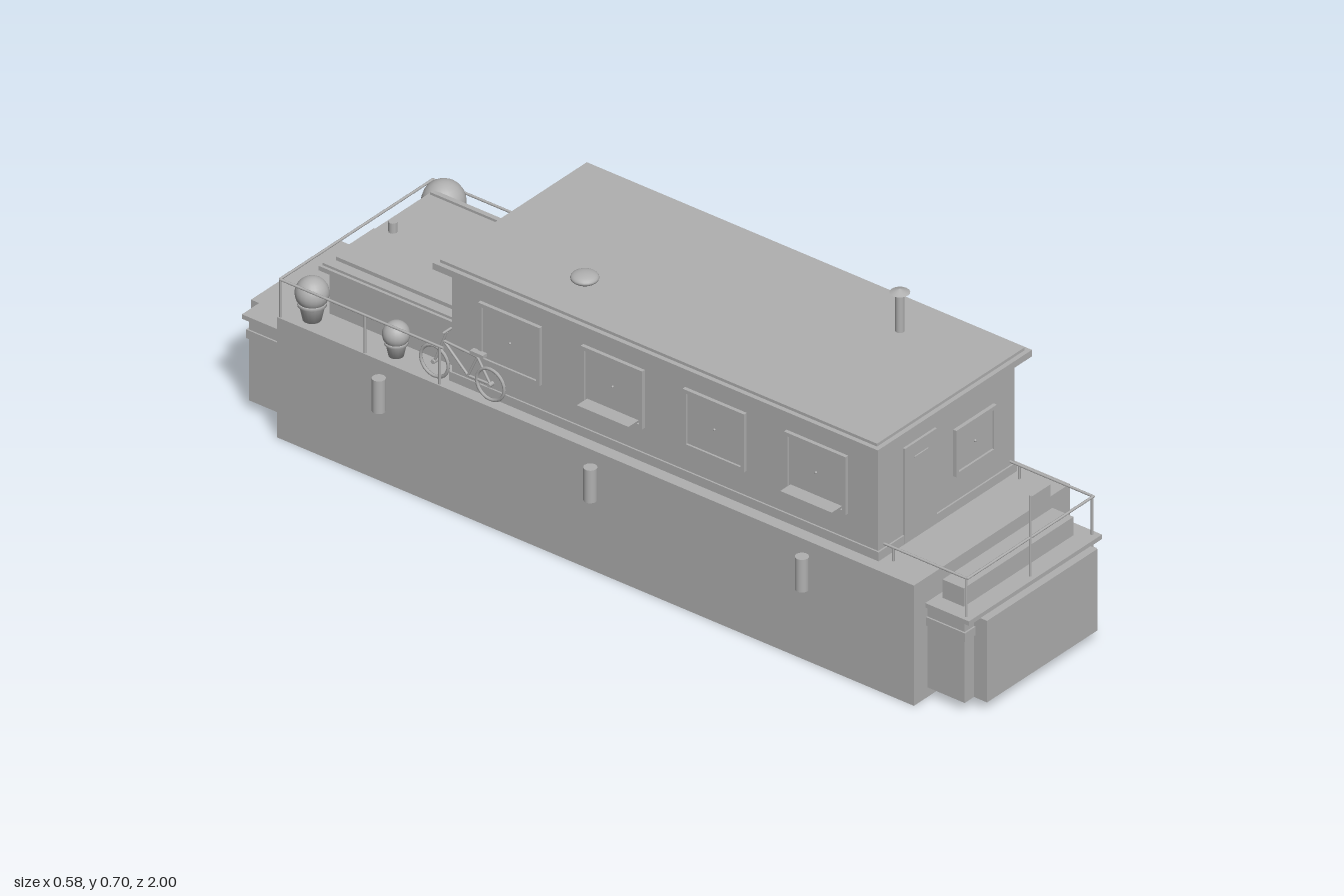
import * as THREE from 'three';

const grey = new THREE.MeshStandardMaterial({ color: 0xb0b0b0 });
grey.name = 'plain grey';

export function createModel() {
  const root = new THREE.Group();
  root.name = 'houseboat';

  const add = (name, geo, x = 0, y = 0, z = 0, parent = root) => {
    const m = new THREE.Mesh(geo, grey);
    m.name = name;
    m.position.set(x, y, z);
    parent.add(m);
    return m;
  };
  // box given by its limits on each axis
  const box = (name, x0, x1, y0, y1, z0, z1, parent = root) =>
    add(name, new THREE.BoxGeometry(x1 - x0, y1 - y0, z1 - z0),
      (x0 + x1) / 2, (y0 + y1) / 2, (z0 + z1) / 2, parent);
  // thin round bar between two points
  const bar = (name, a, b, r = 0.003, parent = root) => {
    const p = new THREE.Vector3(...a), q = new THREE.Vector3(...b);
    const d = q.clone().sub(p);
    const m = add(name, new THREE.CylinderGeometry(r, r, d.length(), 8), 0, 0, 0, parent);
    m.position.copy(p).add(q).multiplyScalar(0.5);
    m.quaternion.setFromUnitVectors(new THREE.Vector3(0, 1, 0), d.normalize());
    return m;
  };

  // Hull with a stepped platform at each end
  box('hull', -0.26, 0.26, 0, 0.295, -0.842, 0.865);
  box('bowBlock', -0.215, 0.215, 0.024, 0.224, 0.86, 0.965);
  box('bowFace', -0.184, 0.184, 0.024, 0.224, 0.96, 1);
  box('bowBand', -0.219, 0.219, 0.177, 0.198, 0.86, 0.969);
  box('bowDeck', -0.222, 0.222, 0.223, 0.234, 0.86, 0.982);
  box('sternBlock', -0.212, 0.212, 0.024, 0.224, -0.955, -0.84);
  box('sternFace', -0.15, 0.15, 0.024, 0.224, -1, -0.95);
  box('sternBand', -0.216, 0.216, 0.177, 0.198, -0.96, -0.84);
  box('sternDeck', -0.22, 0.22, 0.223, 0.234, -0.968, -0.84);
  box('bowBench', -0.183, 0.183, 0.234, 0.279, 0.88, 0.937);

  // Main cabin and two-layer roof
  box('cabin', -0.227, 0.227, 0.295, 0.572, -0.4, 0.743);
  box('cabinSkirt', -0.231, 0.231, 0.295, 0.317, -0.404, 0.747);
  box('roofSlab', -0.257, 0.257, 0.571, 0.587, -0.427, 0.766);
  box('roofTop', -0.246, 0.246, 0.587, 0.594, -0.416, 0.755);
  box('frontDoor', -0.145, -0.038, 0.297, 0.53, 0.74, 0.749);
  box('doorTrim', -0.115, -0.07, 0.495, 0.498, 0.745, 0.752);

  // Framed window lying in the xy plane, facing +z
  const makeWindow = (name, w, h) => {
    const g = new THREE.Group();
    g.name = name;
    box('windowPane', -w / 2, w / 2, -h / 2, h / 2, 0, 0.004, g);
    const t = 0.009;
    for (const s of [-1, 1]) {
      add('windowFrame', new THREE.BoxGeometry(w, t, 0.009), 0, s * (h - t) / 2, 0.0045, g);
      add('windowFrame', new THREE.BoxGeometry(t, h - 2 * t, 0.009), s * (w - t) / 2, 0, 0.0045, g);
    }
    add('windowKnob', new THREE.SphereGeometry(0.003, 8, 6), 0, 0, 0.005, g);
    root.add(g);
    return g;
  };
  makeWindow('frontWindow', 0.135, 0.114).position.set(0.09, 0.438, 0.743);
  const rear = makeWindow('rearWindow', 0.15, 0.114);
  rear.position.set(0.075, 0.455, -0.4);
  rear.rotation.y = Math.PI;

  // Side windows, planter boxes and fenders
  for (const s of [-1, 1]) {
    for (const z of [0.58, 0.308, 0.035, -0.24]) {
      const w = makeWindow('sideWindow', 0.165, 0.142);
      w.position.set(s * 0.227, 0.449, z);
      w.rotation.y = s * Math.PI / 2;
    }
    for (const z of [0.58, 0.035]) {
      const geo = new THREE.BoxGeometry(0.038, 0.038, 0.138);
      const p = geo.attributes.position;
      for (let i = 0; i < p.count; i++) if (p.getY(i) < 0) p.setZ(i, p.getZ(i) * 0.9);
      geo.computeVertexNormals();
      add('planterBox', geo, s * 0.246, 0.374, z);
    }
    for (const z of [0.577, 0.01, -0.557])
      add('fender', new THREE.CylinderGeometry(0.015, 0.015, 0.08, 16), s * 0.275, 0.223, z);
  }

  // Chimney and roof vent
  add('chimney', new THREE.CylinderGeometry(0.01, 0.01, 0.096, 16), 0.135, 0.641, 0.51);
  add('chimneyCap', new THREE.ConeGeometry(0.022, 0.009, 16), 0.135, 0.693, 0.51);
  add('roofVent', new THREE.SphereGeometry(0.031, 20, 12), -0.138, 0.615, -0.115).scale.y = 0.4;
  add('ventStalk', new THREE.CylinderGeometry(0.006, 0.006, 0.02, 8), -0.138, 0.6, -0.115);

  // Bow railing and flag
  for (const s of [-1, 1]) {
    bar('bowRail', [s * 0.21, 0.328, 0.745], [s * 0.21, 0.328, 0.968]);
    bar('bowPost', [s * 0.21, 0.234, 0.965], [s * 0.21, 0.328, 0.965]);
    bar('bowPost', [s * 0.21, 0.295, 0.77], [s * 0.21, 0.328, 0.77]);
  }
  bar('bowRail', [-0.212, 0.328, 0.968], [0.212, 0.328, 0.968]);
  bar('flagPole', [0, 0.234, 0.968], [0, 0.432, 0.968]);
  box('flag', 0, 0.066, 0.383, 0.427, 0.967, 0.969);

  // Low aft cabin with raised hatch and roof strips
  box('aftCabin', -0.18, 0.18, 0.295, 0.402, -0.765, -0.4);
  box('aftRoof', -0.193, 0.193, 0.4, 0.411, -0.785, -0.4);
  box('aftHatch', -0.153, 0.153, 0.411, 0.42, -0.77, -0.42);
  for (const s of [-1, 1])
    box('roofStrip', s * 0.18 - 0.006, s * 0.18 + 0.006, 0.411, 0.417, -0.78, -0.405);
  add('hatchKnob', new THREE.CylinderGeometry(0.01, 0.01, 0.025, 12), 0, 0.432, -0.74);

  // Aft railing
  for (const s of [-1, 1]) {
    bar('aftRail', [s * 0.255, 0.387, -0.4], [s * 0.255, 0.387, -0.838]);
    for (const z of [-0.41, -0.61, -0.836])
      bar('aftPost', [s * 0.255, 0.295, z], [s * 0.255, 0.387, z]);
  }
  bar('aftRail', [-0.255, 0.387, -0.838], [0.255, 0.387, -0.838]);

  // Potted round shrubs: x, z, radius
  for (const [x, z, r] of [[0.213, -0.775, 0.048], [0.22, -0.478, 0.035],
    [-0.22, -0.78, 0.037], [-0.222, -0.553, 0.03]]) {
    const h = r * 1.2;
    const pot = [[0, 0], [0.55, 0], [0.75, h * 0.8], [0.85, h * 0.8], [0.85, h], [0, h]]
      .map(([k, y]) => new THREE.Vector2(k * r, y));
    add('plantPot', new THREE.LatheGeometry(pot, 20), x, 0.295, z);
    add('shrub', new THREE.SphereGeometry(r, 20, 14), x, 0.295 + r * 1.75, z);
  }

  // Life ring on the rear wall
  add('lifeRing', new THREE.TorusGeometry(0.032, 0.008, 10, 24), 0.15, 0.435, -0.415);

  // Bicycle against the cabin side
  const bike = new THREE.Group();
  bike.name = 'bicycle';
  bike.position.set(-0.241, 0.295, -0.36);
  root.add(bike);
  for (const z of [-0.075, 0.075]) {
    add('wheel', new THREE.TorusGeometry(0.037, 0.004, 6, 24), 0, 0.041, z, bike).rotation.y = Math.PI / 2;
    const hub = add('hub', new THREE.CylinderGeometry(0.005, 0.005, 0.014, 8), 0, 0.041, z, bike);
    hub.rotation.z = Math.PI / 2;
  }
  const head = [0, 0.1, -0.05], seat = [0, 0.095, 0.04], crank = [0, 0.04, 0.015];
  for (const [a, b] of [[head, seat], [head, crank], [seat, crank], [crank, [0, 0.041, 0.075]],
    [seat, [0, 0.041, 0.075]], [[0, 0.125, -0.042], [0, 0.041, -0.075]]])
    bar('frameTube', a, b, 0.003, bike);
  bar('handlebar', [-0.014, 0.127, -0.042], [0.014, 0.127, -0.042], 0.003, bike);
  box('saddle', -0.007, 0.007, 0.1, 0.108, 0.025, 0.06, bike);

  return root;
}
